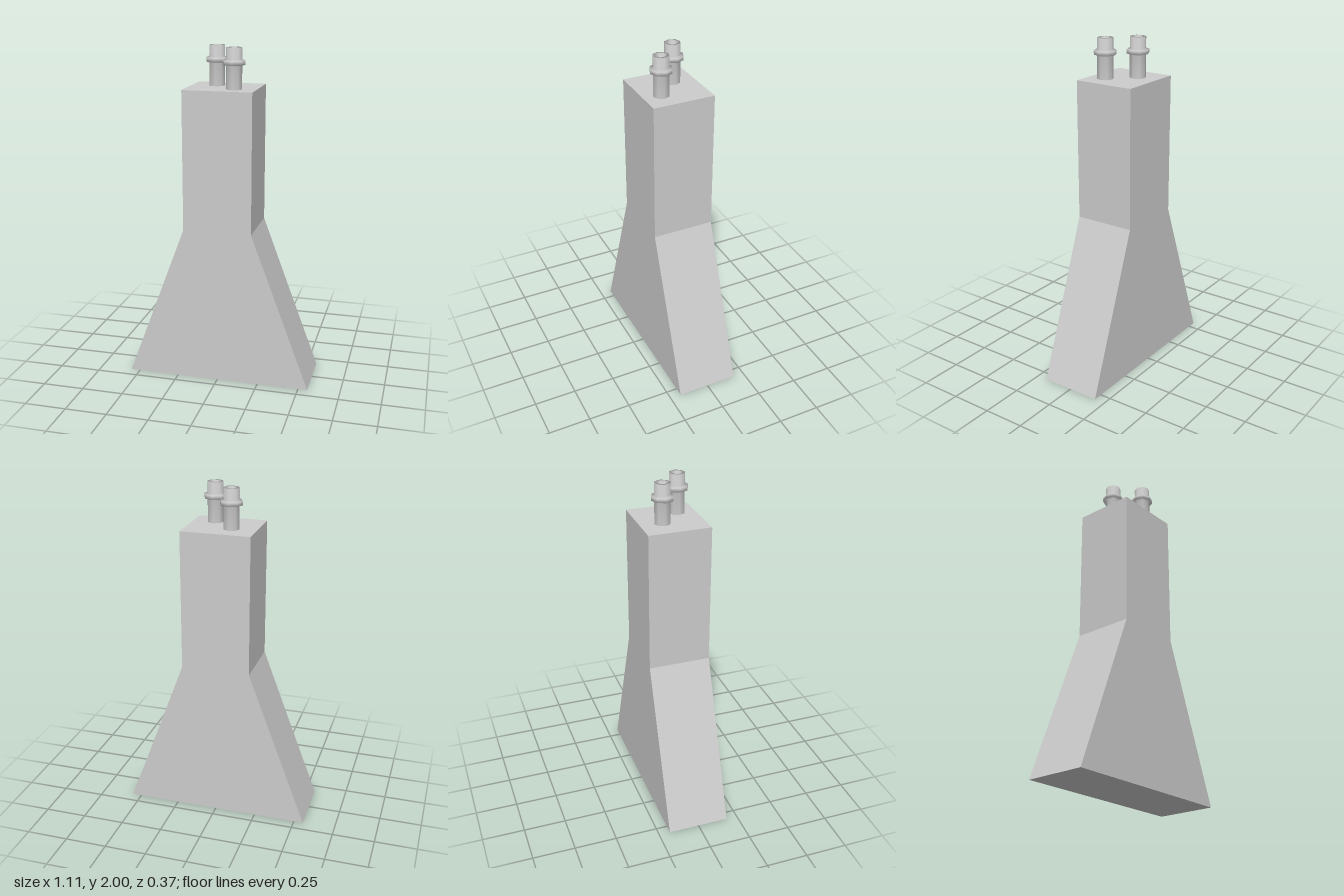
import * as THREE from 'three';

export function createModel() {
  const model = new THREE.Group();
  const stone = new THREE.MeshStandardMaterial({ color: 0xcccccc });
  stone.name = 'light grey';

  // Flared chimney stack: one outline, extruded front to back
  const depth = 0.366;
  const outline = new THREE.Shape([
    [-0.556, 0], [0.556, 0], [0.204, 0.943], [0.204, 1.767], [-0.204, 1.767], [-0.204, 0.943],
  ].map(([x, y]) => new THREE.Vector2(x, y)));
  const stackGeometry = new THREE.ExtrudeGeometry(outline, { depth, bevelEnabled: false });
  stackGeometry.translate(0, 0, -depth / 2);
  const stack = new THREE.Mesh(stackGeometry, stone);
  stack.name = 'chimneyStack';
  model.add(stack);

  // Eight-sided flue pots with a collar and a hollow mouth
  const profile = [
    [0.047, 1.767], [0.047, 1.9], [0.065, 1.905], [0.065, 1.928],
    [0.047, 1.936], [0.047, 2], [0.03, 2], [0.027, 1.94], [0, 1.94],
  ].map(([r, y]) => new THREE.Vector2(r, y));
  const potGeometry = new THREE.LatheGeometry(profile, 8);
  [[-0.058, -0.053, 'backFluePot'], [0.075, 0.078, 'frontFluePot']].forEach(([x, z, name]) => {
    const pot = new THREE.Mesh(potGeometry, stone);
    pot.position.set(x, 0, z);
    pot.name = name;
    model.add(pot);
  });

  return model;
}
